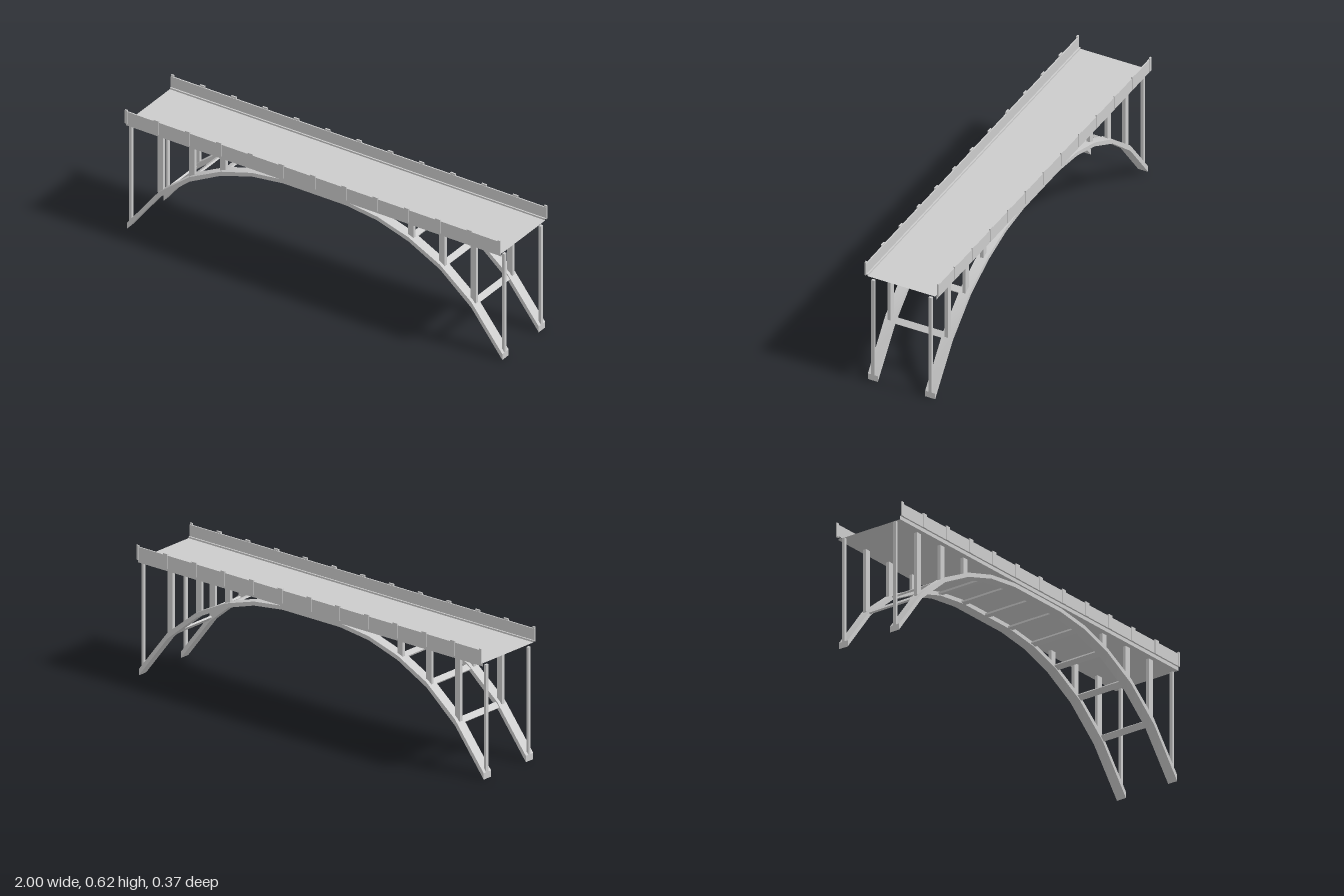
import * as THREE from 'three';
import { toCreasedNormals } from 'three/addons/utils/BufferGeometryUtils.js';

const material = new THREE.MeshStandardMaterial({ color: 0xcccccc });

// Arch heights at x = 0, 1/6, 2/6 ... 1
const BAY = 1 / 6;
const LOWER = [0.514, 0.514, 0.493, 0.441, 0.354, 0.214, 0];
const UPPER = [0.534, 0.533, 0.512, 0.462, 0.378, 0.243, 0.03];
const DECK_BOTTOM = 0.535;

function add(parent, name, geometry, x = 0, y = 0, z = 0) {
  const mesh = new THREE.Mesh(geometry, material);
  mesh.name = name;
  mesh.position.set(x, y, z);
  parent.add(mesh);
  return mesh;
}

// Open-ended sheet along x from a closed counter-clockwise (z, y) profile
function sweepAlongX(profile, halfLength) {
  const positions = [];
  profile.forEach(([z0, y0], i) => {
    const [z1, y1] = profile[(i + 1) % profile.length];
    const a = [-halfLength, y0, z0], b = [halfLength, y0, z0];
    const c = [halfLength, y1, z1], d = [-halfLength, y1, z1];
    positions.push(...a, ...b, ...c, ...a, ...c, ...d);
  });
  const geometry = new THREE.BufferGeometry();
  geometry.setAttribute('position', new THREE.Float32BufferAttribute(positions, 3));
  geometry.computeVertexNormals();
  return geometry;
}

// Flat-sided arch rib with a faceted curve
function archGeometry(depth) {
  const points = [];
  for (let i = -6; i <= 6; i++) points.push(new THREE.Vector2(i * BAY, LOWER[Math.abs(i)]));
  for (let i = 6; i >= -6; i--) points.push(new THREE.Vector2(i * BAY, UPPER[Math.abs(i)]));
  const geometry = new THREE.ExtrudeGeometry(new THREE.Shape(points), { depth, bevelEnabled: false });
  geometry.translate(0, 0, -depth / 2);
  return toCreasedNormals(geometry, 0.3);
}

export function createModel() {
  const bridge = new THREE.Group();
  bridge.name = 'archBridge';

  // Road deck with kerbs and parapet walls in one profile
  const half = [
    [0.174, DECK_BOTTOM], [0.174, 0.552], [0.182, 0.552], [0.182, 0.612],
    [0.176, 0.612], [0.176, 0.558], [0.169, 0.558], [0.169, 0.55],
  ];
  const mirrored = half.map(([z, y]) => [-z, y]).reverse();
  add(bridge, 'deckAndParapets', sweepAlongX([...half, ...mirrored], 1));

  for (const side of [-1, 1]) {
    // Arch rib
    add(bridge, 'archRib', archGeometry(0.05), 0, 0, side * 0.143);

    // Parapet posts, cut in half at the bridge ends
    for (let i = -6; i <= 6; i++) {
      const end = Math.abs(i) === 6;
      const width = end ? 0.013 : 0.026;
      const x = end ? Math.sign(i) * (1 - width / 2) : i * BAY;
      add(bridge, 'parapetPost', new THREE.BoxGeometry(width, 0.069, 0.007), x, 0.5855, side * 0.1815);
    }

    // Columns between arch and deck
    for (const i of [-6, -5, -4, -3, 3, 4, 5, 6]) {
      const n = Math.abs(i);
      const width = n === 6 ? 0.012 : 0.03;
      const x = n === 6 ? Math.sign(i) * (1 - width / 2) : i * BAY;
      const bottom = UPPER[n] - (n === 6 ? 0 : 0.012);
      const height = DECK_BOTTOM - bottom;
      add(bridge, 'column', new THREE.BoxGeometry(width, height, 0.016), x, bottom + height / 2, side * 0.143);
    }
  }

  // Cross beams between the ribs, tilted to follow the arch
  const beamGeometry = new THREE.BoxGeometry(0.03, 0.0088, 0.24);
  for (let i = -5; i <= 5; i++) {
    const n = Math.abs(i);
    const slope = n < 2 ? 0 : (LOWER[n - 1] - LOWER[n + 1]) / (2 * BAY);
    const y = n < 2 ? 0.519 : (LOWER[n] + UPPER[n]) / 2;
    add(bridge, 'crossBeam', beamGeometry, i * BAY, y, 0).rotation.z = -Math.sign(i) * Math.atan(slope);
  }

  return bridge;
}
